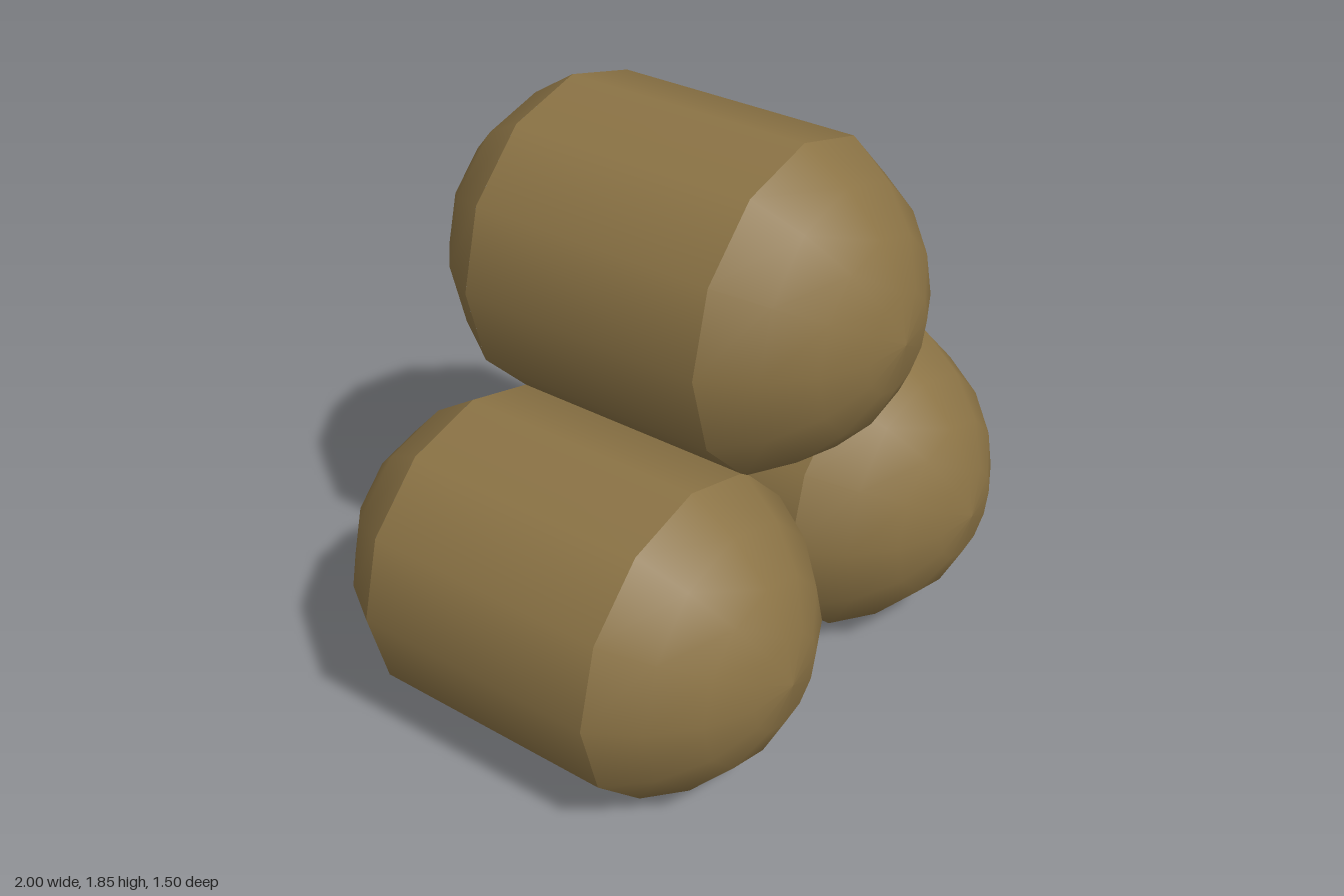
import * as THREE from 'three';

const SIDES = 12;
const RADIUS = 0.5;
const HALF = 0.4; // half length of the straight barrel

export function createModel() {
  const model = new THREE.Group();
  model.name = 'sackPile';
  const brown = new THREE.MeshStandardMaterial({ color: 0x8b7345 });
  brown.name = 'brown burlap';

  // Straight middle, lying along z
  const barrelGeo = new THREE.CylinderGeometry(RADIUS, RADIUS, HALF * 2, SIDES, 1, true);
  barrelGeo.rotateX(Math.PI / 2);

  // Bulging end: a 60 degree ellipsoid cap from the rim to the pole
  const profile = [];
  for (let i = 4; i >= 0; i--) {
    const a = (i * Math.PI) / 12;
    profile.push(new THREE.Vector2(0.5774 * Math.sin(a), 0.05 + 0.7 * Math.cos(a)));
  }
  const frontCapGeo = new THREE.LatheGeometry(profile, SIDES).rotateX(Math.PI / 2);
  const backCapGeo = frontCapGeo.clone().rotateY(Math.PI);

  function addSack(name, x, y) {
    const sack = new THREE.Group();
    sack.name = name;
    sack.position.set(x, y, 0);
    const parts = { barrel: barrelGeo, frontCap: frontCapGeo, backCap: backCapGeo };
    for (const [part, geo] of Object.entries(parts)) {
      const mesh = new THREE.Mesh(geo, brown);
      mesh.name = part;
      sack.add(mesh);
    }
    model.add(sack);
  }

  // Two sacks side by side, one resting on top
  addSack('leftSack', 0.5, 0.5);
  addSack('rightSack', -0.5, 0.5);
  addSack('topSack', 0, 1.354);
  return model;
}
